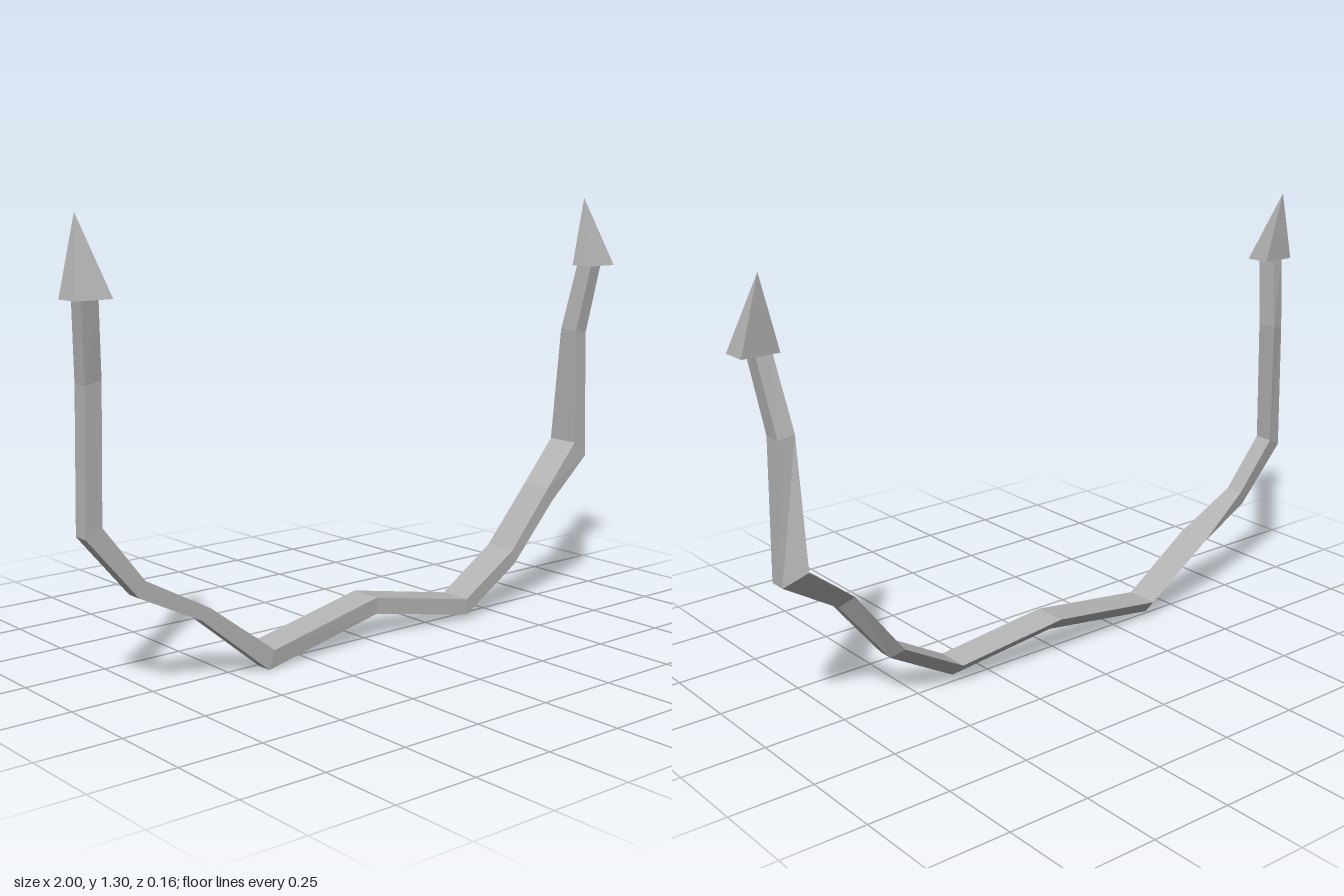
import * as THREE from 'three';

// Stations along the bent bar: outer x,y, inner x,y, front z, outer back z, inner back z
const STATIONS = [
  [-0.97, 1.08, -0.92, 1.08, 0.06, 0.01, 0.0],
  [-0.95, 0.86, -0.9, 0.87, 0.03, -0.02, -0.035],
  [-0.96, 0.46, -0.91, 0.485, 0.03, -0.02, -0.03],
  [-0.81, 0.28, -0.79, 0.325, 0.04, -0.01, -0.02],
  [-0.62, 0.185, -0.59, 0.215, 0.05, 0.0, -0.06],
  [-0.4, 0.0, -0.38, 0.055, 0.06, 0.01, -0.045],
  [0.03, 0.075, 0.03, 0.125, 0.025, -0.025, -0.08],
  [0.37, 0.015, 0.37, 0.065, 0.06, 0.01, -0.045],
  [0.59, 0.14, 0.58, 0.185, 0.05, 0.0, -0.06],
  [0.74, 0.33, 0.72, 0.375, 0.07, 0.02, -0.035],
  [0.93, 0.45, 0.88, 0.5, 0.035, -0.017, -0.073],
  [0.925, 0.86, 0.88, 0.87, 0.03, -0.025, -0.037],
  [0.955, 1.08, 0.91, 1.08, 0.06, 0.01, 0.0],
];

// Skin the four-cornered cross-sections and cap both ends
function barGeometry() {
  const pos = [];
  const index = [];
  for (const [ox, oy, ix, iy, zf, zo, zi] of STATIONS) {
    pos.push(ox, oy, zf, ix, iy, zf, ix, iy, zi, ox, oy, zo);
  }
  for (let s = 0; s < STATIONS.length - 1; s++) {
    for (let k = 0; k < 4; k++) {
      const a = s * 4 + k;
      const b = s * 4 + (k + 1) % 4;
      index.push(a, a + 4, b, b, a + 4, b + 4);
    }
  }
  const e = (STATIONS.length - 1) * 4;
  index.push(0, 1, 2, 0, 2, 3, e, e + 2, e + 1, e, e + 3, e + 2);
  return finish(pos, index);
}

// Four-sided point with its peak above the back edge
function tipGeometry() {
  const pos = [-0.056, 1.08, 0.078, 0.056, 1.08, 0.078, 0.056, 1.08, 0, -0.056, 1.08, 0, 0, 1.296, -0.007];
  const index = [0, 1, 4, 1, 2, 4, 2, 3, 4, 3, 0, 4, 0, 2, 1, 0, 3, 2];
  return finish(pos, index);
}

function finish(pos, index) {
  const g = new THREE.BufferGeometry();
  g.setAttribute('position', new THREE.Float32BufferAttribute(pos, 3));
  g.setIndex(index);
  const flat = g.toNonIndexed();
  flat.computeVertexNormals();
  return flat;
}

export function createModel() {
  const group = new THREE.Group();
  const grey = new THREE.MeshStandardMaterial({ color: 0xb4b4b4 });
  grey.name = 'grey';

  const bar = new THREE.Mesh(barGeometry(), grey);
  bar.name = 'bentBar';
  group.add(bar);

  // Arrow tips on both ends
  for (const side of [-1, 1]) {
    const tip = new THREE.Mesh(tipGeometry(), grey);
    tip.name = side < 0 ? 'rightTip' : 'leftTip';
    tip.position.x = side * 0.944;
    group.add(tip);
  }
  return group;
}
